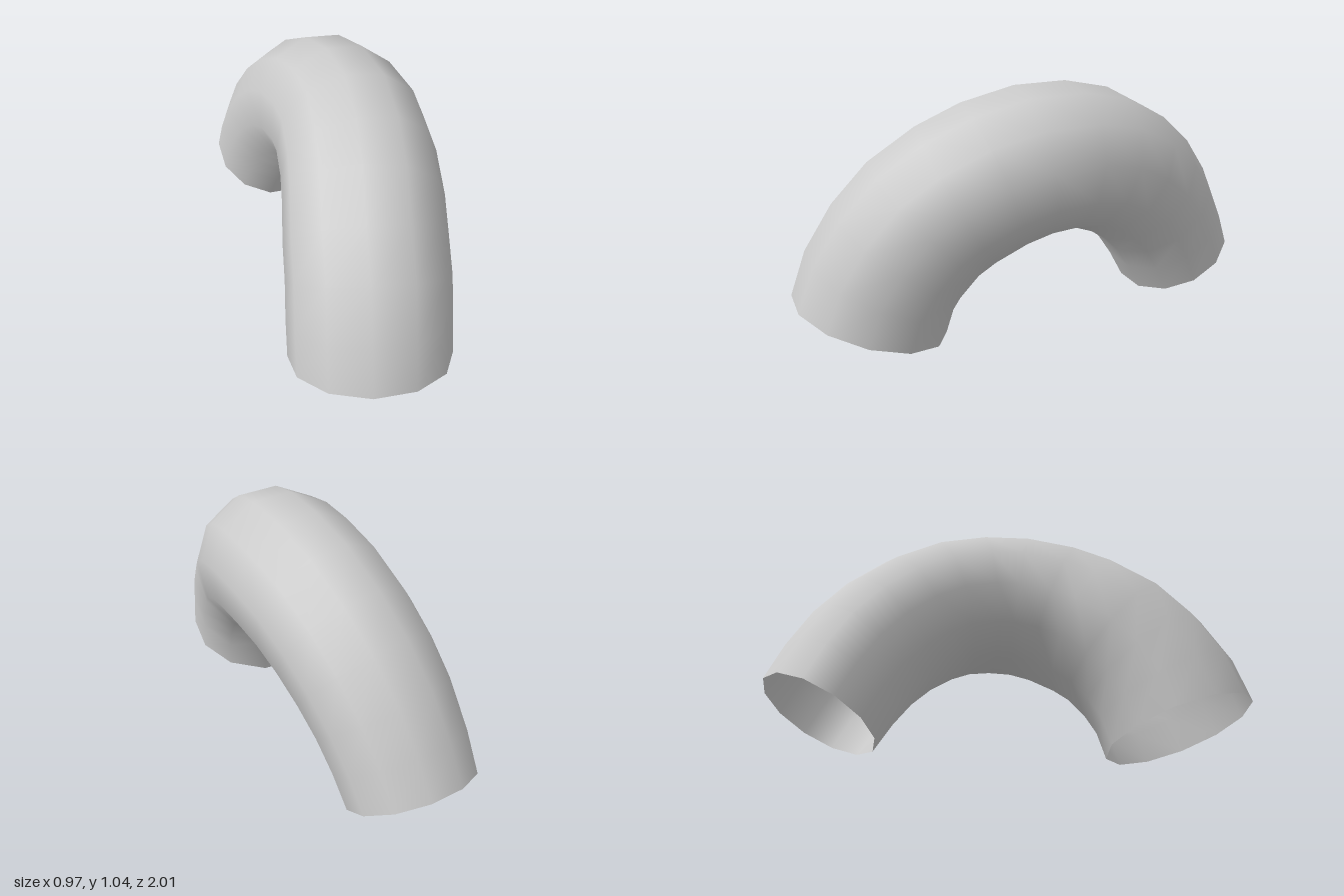
import * as THREE from 'three';

const RINGS = 13, SIDES = 12;

// Centreline of the bent pipe, front end to back end
const path = new THREE.CatmullRomCurve3([
  [-0.15, 0.123, 0.69], [-0.13, 0.27, 0.645], [-0.085, 0.425, 0.56], [-0.03, 0.56, 0.44],
  [0.04, 0.65, 0.31], [0.095, 0.71, 0.175], [0.145, 0.737, 0.025], [0.172, 0.722, -0.14],
  [0.185, 0.683, -0.27], [0.19, 0.615, -0.39], [0.19, 0.523, -0.505], [0.185, 0.405, -0.61],
  [0.18, 0.265, -0.7], [0.178, 0.13, -0.77],
].map((p) => new THREE.Vector3(...p)));

// The pipe narrows towards its back end
const radiusAt = (u) => 0.33 - 0.065 * Math.pow(u, 2.2);

export function createModel() {
  const group = new THREE.Group();
  group.name = 'bentPipe';

  // Unit-radius tube, each ring then scaled about its centre
  const geometry = new THREE.TubeGeometry(path, RINGS, 1, SIDES, false);
  const pos = geometry.attributes.position;
  const v = new THREE.Vector3();
  for (let i = 0; i <= RINGS; i++) {
    const u = i / RINGS;
    const centre = path.getPointAt(u);
    for (let j = 0; j <= SIDES; j++) {
      const k = i * (SIDES + 1) + j;
      v.fromBufferAttribute(pos, k).sub(centre).multiplyScalar(radiusAt(u)).add(centre);
      pos.setXYZ(k, v.x, v.y, v.z);
    }
  }

  // Open at both ends, so the inside is visible
  const material = new THREE.MeshStandardMaterial({ color: 0xcccccc, side: THREE.DoubleSide });
  const pipe = new THREE.Mesh(geometry, material);
  pipe.name = 'pipeWall';
  group.add(pipe);
  return group;
}
